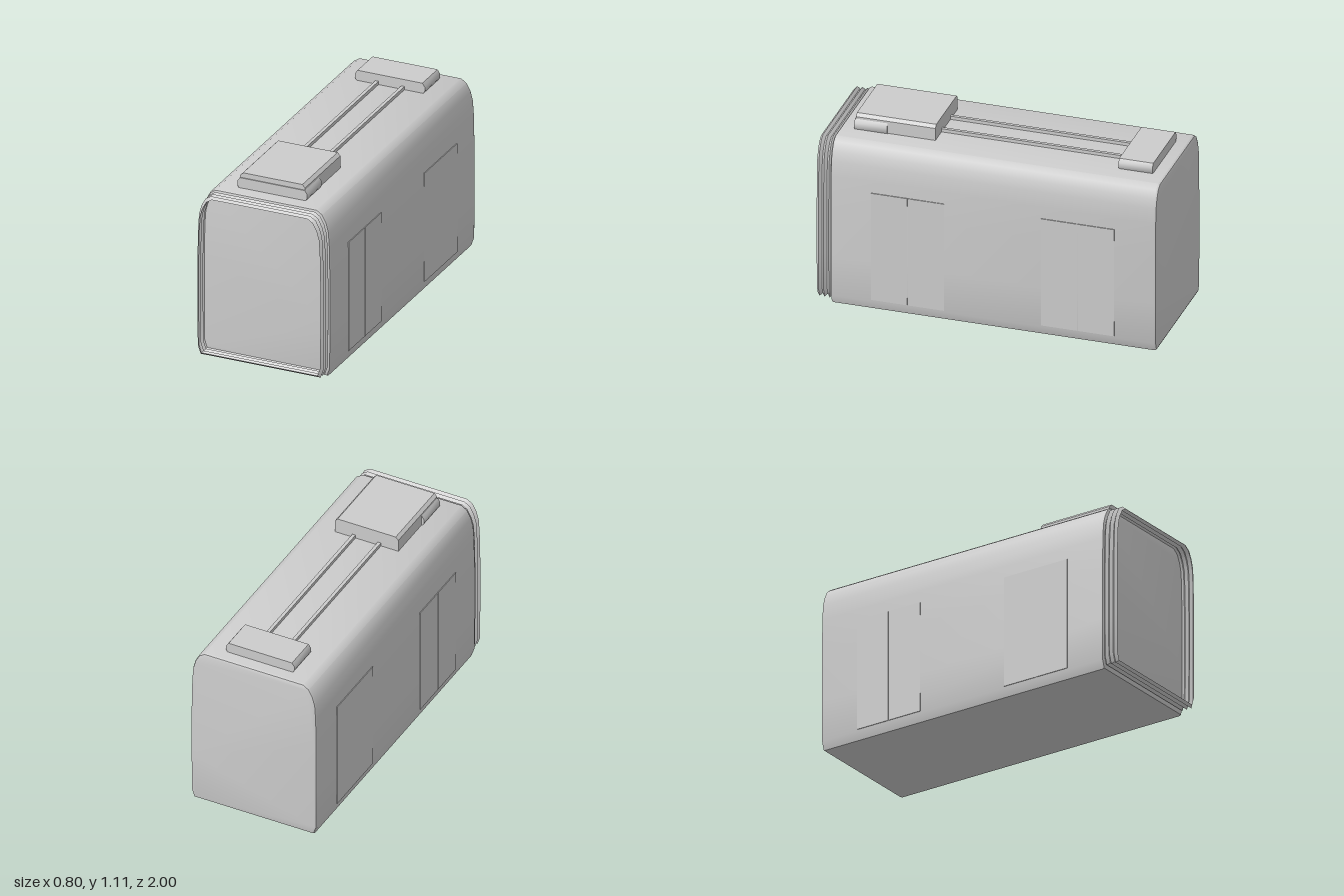
import * as THREE from 'three';
import { toCreasedNormals } from 'three/addons/utils/BufferGeometryUtils.js';

// Right half of the carriage cross-section, bottom to top
const HALF = [
  [0.378, 0], [0.395, 0.05], [0.397, 0.3], [0.397, 0.6], [0.393, 0.8], [0.387, 0.89],
  [0.372, 0.945], [0.347, 0.992], [0.312, 1.015],
];

const mirrored = (half) => [...half, ...half.map(([x, y]) => [-x, y]).reverse()];

// Extrude a mirrored outline between two z positions
function prism(half, z0, z1, bevel = 0) {
  const shape = new THREE.Shape(mirrored(half).map(([x, y]) => new THREE.Vector2(x, y)));
  const geo = new THREE.ExtrudeGeometry(shape, {
    depth: z1 - z0 - 2 * bevel, bevelEnabled: bevel > 0,
    bevelThickness: bevel, bevelSize: bevel, bevelOffset: -bevel, bevelSegments: 2,
  });
  geo.translate(0, 0, z0 + bevel);
  return toCreasedNormals(geo, 0.6);
}

// Open pleated tube following the carriage outline
function pleats(z0, z1, ridges) {
  const ring = mirrored(HALF), n = ring.length, rows = ridges * 2;
  const pos = [], index = [];
  for (let r = 0; r <= rows; r++) {
    const inset = r % 2 ? 0.008 : 0.022;
    const sx = (0.397 - inset) / 0.397;
    const sy = (0.5 - inset) / 0.5075;
    for (const [x, y] of ring) {
      pos.push(x * sx, 0.514 + (y - 0.5075) * sy, z0 + (z1 - z0) * r / rows);
    }
  }
  for (let r = 0; r < rows; r++) {
    for (let i = 0; i < n; i++) {
      const a = r * n + i, b = r * n + (i + 1) % n;
      index.push(a, b, b + n, a, b + n, a + n);
    }
  }
  const geo = new THREE.BufferGeometry();
  geo.setAttribute('position', new THREE.Float32BufferAttribute(pos, 3));
  geo.setIndex(index);
  return toCreasedNormals(geo, 0.6);
}

export function createModel() {
  const model = new THREE.Group();
  model.name = 'carriage';
  const grey = new THREE.MeshStandardMaterial({ color: 0xcccccc, side: THREE.DoubleSide });
  grey.name = 'light grey';

  const add = (name, geo, x = 0, y = 0, z = 0) => {
    const mesh = new THREE.Mesh(geo, grey);
    mesh.name = name;
    mesh.position.set(x, y, z);
    model.add(mesh);
  };

  // Body and the open gangway at the front
  add('body', prism(HALF, -1, 0.915, 0.015));
  add('gangwayBellows', pleats(0.91, 1, 3));

  // Roof equipment
  const lowUnit = [[0.2, 1.005], [0.215, 1.03], [0.215, 1.055], [0.2, 1.077]];
  const highUnit = [[0.2, 1.005], [0.2, 1.09], [0.183, 1.108]];
  add('rearRoofUnit', prism(lowUnit, -0.92, -0.72));
  add('frontRoofUnitBase', prism(lowUnit, 0.64, 0.832));
  add('frontRoofUnit', prism(highUnit, 0.36, 0.826));

  for (const side of [-1, 1]) {
    // Roof conduits between the two units
    add('roofConduit', new THREE.BoxGeometry(0.02, 0.03, 1.1), side * 0.08, 1.02, -0.18);

    // Double doors, two leaves at each doorway
    for (const doorZ of [0.46, -0.54]) {
      for (const leaf of [-1, 1]) {
        add('doorLeaf', new THREE.BoxGeometry(0.006, 0.67, 0.213),
          side * 0.396, 0.395, doorZ + leaf * 0.108);
      }
    }
  }
  return model;
}
